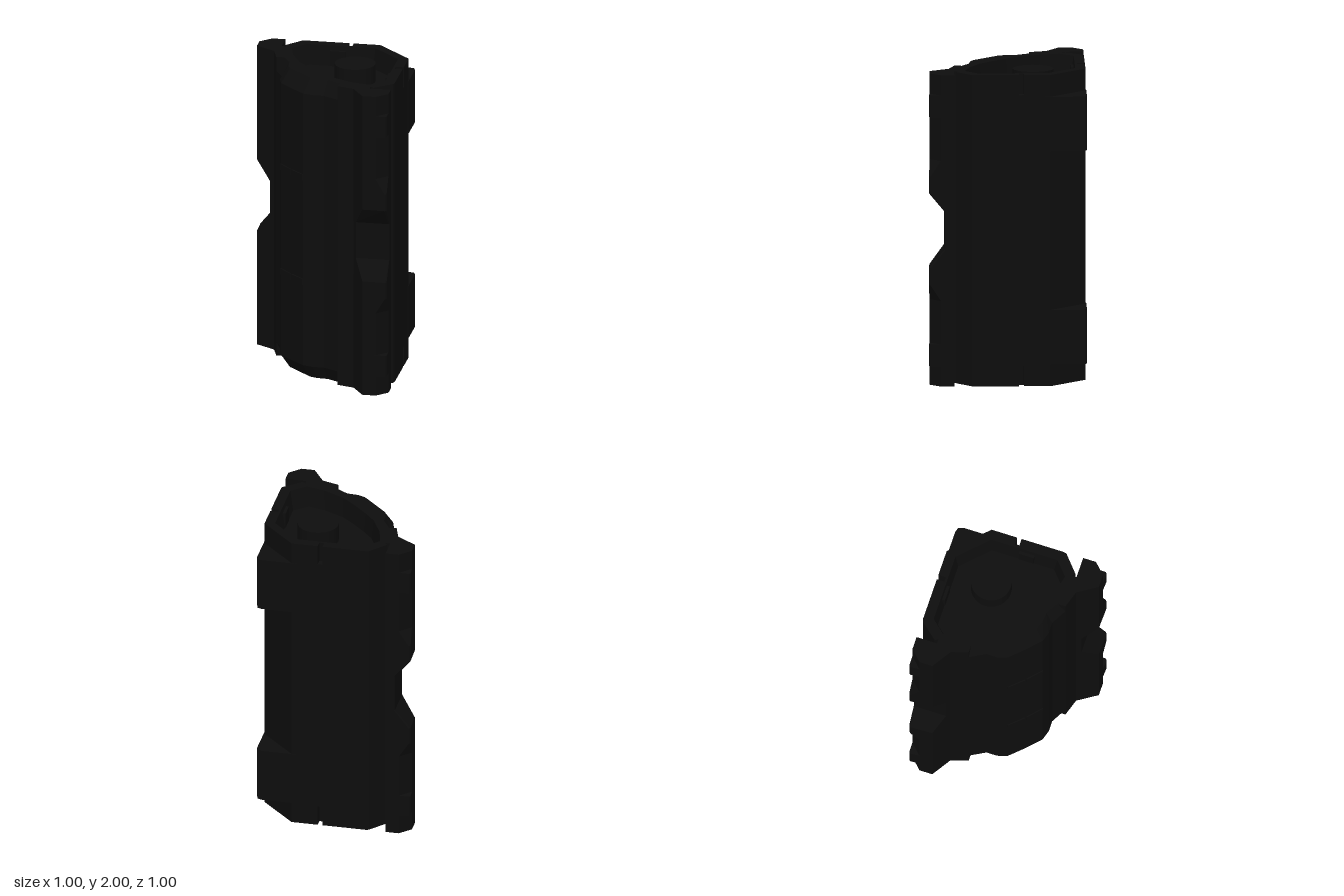
import * as THREE from 'three';

const black = new THREE.MeshStandardMaterial({ color: 0x0d0d0d });
black.name = 'matte black';

// Plans are [x, z] points; the body is symmetric across the diagonal x = -z.
const mirror = pts => pts.map(([x, z]) => [-z, -x]);
const whole = half => [...half, ...mirror(half).reverse()];
const v2 = pts => pts.map(([x, z]) => new THREE.Vector2(x, -z));
const ccw = pts => (THREE.ShapeUtils.area(v2(pts)) < 0 ? [...pts].reverse() : pts);

function fromTriangles(pos) {
  const g = new THREE.BufferGeometry();
  g.setAttribute('position', new THREE.Float32BufferAttribute(pos, 3));
  g.computeVertexNormals();
  return g;
}

// Solid through plan sections [points, y], listed from low to high
function loft(sections, caps = true, inward = false) {
  const rings = sections.map(([pts, y]) => ccw(pts).map(([x, z]) => [x, y, z]));
  const pos = [];
  const tri = (a, b, c) => (inward ? pos.push(...a, ...c, ...b) : pos.push(...a, ...b, ...c));
  for (let k = 0; k + 1 < rings.length; k++) {
    const a = rings[k], b = rings[k + 1];
    for (let i = 0; i < a.length; i++) {
      const j = (i + 1) % a.length;
      tri(a[i], a[j], b[j]);
      tri(a[i], b[j], b[i]);
    }
  }
  if (caps) {
    for (const [r, up] of [[rings[0], false], [rings[rings.length - 1], true]]) {
      const flat = r.map(p => new THREE.Vector2(p[0], -p[2]));
      for (const [a, b, c] of THREE.ShapeUtils.triangulateShape(flat, [])) {
        if (up) tri(r[a], r[b], r[c]);
        else tri(r[a], r[c], r[b]);
      }
    }
  }
  return fromTriangles(pos);
}

// Flat ring facing up
function ringCap(outer, hole, y) {
  const s = new THREE.Shape(v2(outer));
  s.holes.push(new THREE.Path(v2(hole)));
  return new THREE.ShapeGeometry(s).rotateX(-Math.PI / 2).translate(0, y, 0);
}

// Copy of a geometry turned upside down about y = 1
function upsideDown(geo) {
  const p = (geo.index ? geo.toNonIndexed() : geo).attributes.position;
  const pos = [];
  for (let i = 0; i < p.count; i += 3)
    for (const k of [i, i + 2, i + 1]) pos.push(p.getX(k), 2 - p.getY(k), p.getZ(k));
  return fromTriangles(pos);
}

export function createModel() {
  const model = new THREE.Group();
  model.name = 'cornerCanister';
  const add = (name, geo) => {
    const m = new THREE.Mesh(geo, black);
    m.name = name;
    model.add(m);
  };
  const addBothEnds = (name, geo) => {
    add(name + 'Top', geo);
    add(name + 'Bottom', upsideDown(geo));
  };

  // Main body: two flat sides, chamfered corner, curved shell
  const wall = [[-0.21, -0.495], [-0.23, -0.49], [-0.325, -0.38], [-0.31, -0.36]];
  const shell = [[-0.345, -0.2], [-0.335, -0.15], [-0.28, -0.05], [-0.28, 0.02], [-0.26, 0.085], [-0.178, 0.172]];
  const shellIn = [[-0.3, -0.22], [-0.29, -0.16], [-0.235, -0.07], [-0.23, 0], [-0.21, 0.05], [-0.135, 0.125]];
  const corner = [0.27, -0.495];
  const body = whole([corner, ...wall, ...shell]);
  add('body', loft([[body, 0.13], [body, 1.87]]));

  // End rims: slotted sides, bevelled shell and a sunken basin
  const slot = [[0.1, -0.495], [0.1, -0.445], [0.07, -0.445], [0.07, -0.495]];
  const rimLow = whole([corner, ...slot, ...wall, ...shell]);
  const rimHigh = whole([corner, ...slot, ...wall, ...shellIn]);
  const basin = whole([[0.25, -0.43], [-0.19, -0.43], [-0.27, -0.34], [-0.24, -0.22], [-0.17, -0.08], [-0.1, 0.0]]);
  const basinFloor = basin.map(([x, z]) => [0.08 + (x - 0.08) * 0.94, -0.08 + (z + 0.08) * 0.94]);
  addBothEnds('rimWall', loft([[rimLow, 1.87], [rimLow, 1.91], [rimHigh, 2]], false));
  addBothEnds('rimFace', ringCap(rimHigh, basin, 2));
  addBothEnds('basinWall', loft([[basinFloor, 1.87], [basin, 2]], false, true));
  addBothEnds('boss', new THREE.CylinderGeometry(0.13, 0.13, 0.12, 32).translate(0.17, 1.925, -0.165));

  // Filled corner blocks
  const block = [[0.23, -0.5], [0.46, -0.5], [0.49, -0.49], [0.5, -0.46], [0.5, -0.23]];
  addBothEnds('cornerBlock', loft([[block, 1.51], [block, 1.86]]));

  // Flange plans: only the two tip points and the outer edge change with height
  const flange = (a, b, c) => [[-0.34, -0.36], [-0.34, -0.495], a, b, c,
    [-0.37, -0.26], [-0.335, -0.15], [-0.29, -0.15], [-0.3, -0.36]];
  const cut = flange([-0.425, -0.495], [-0.495, -0.425], [-0.495, -0.34]);
  const full = flange([-0.49, -0.495], [-0.5, -0.485], [-0.495, -0.34]);
  const waist = flange([-0.395, -0.495], [-0.4, -0.49], [-0.4, -0.28]);
  const levels = [[cut, 0], [cut, 0.55], [full, 0.65], [full, 0.76], [waist, 0.88],
    [waist, 1.12], [full, 1.24], [full, 1.35], [cut, 1.45], [cut, 2]];
  const stud = [[-0.415, -0.495], [-0.49, -0.495], [-0.5, -0.485], [-0.495, -0.415]];
  const pad = [[-0.265, 0.09], [-0.186, 0.178], [-0.17, 0.16], [-0.25, 0.07]];
  const tab = [[-0.04, -0.435], [0.06, -0.435], [0.06, -0.405], [-0.04, -0.405]];

  for (const [side, m] of [['back', p => p], ['front', mirror]]) {
    add(side + 'Flange', loft(levels.map(([p, y]) => [m(p), y])));
    addBothEnds(side + 'FlangeStud', loft([[m(stud), 1.73], [m(stud), 1.87]]));
    addBothEnds(side + 'ShellPad', loft([[m(pad), 1.33], [m(pad), 1.37]]));
    addBothEnds(side + 'BasinTab', loft([[m(tab), 1.86], [m(tab), 1.97]]));
  }
  return model;
}
